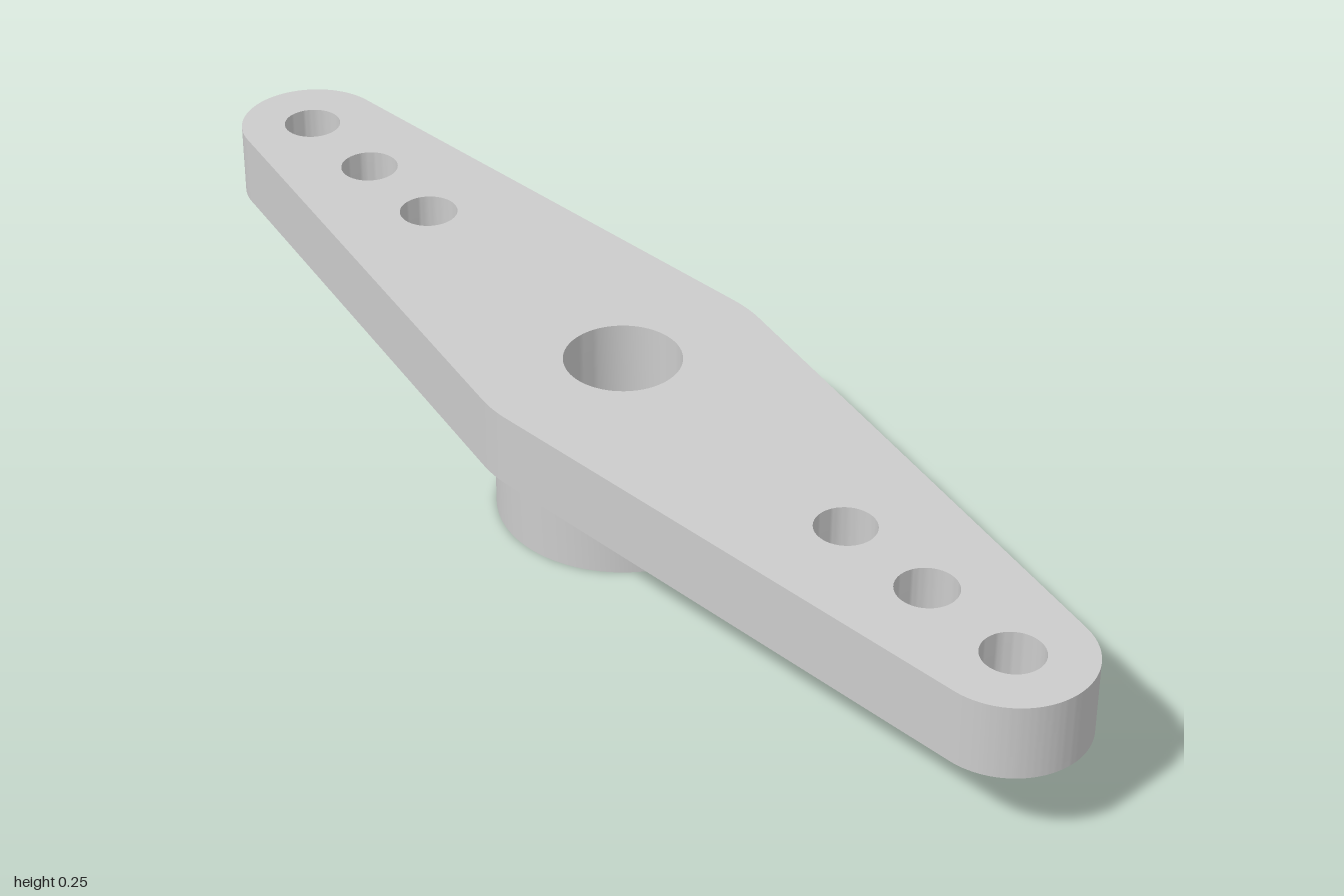
import * as THREE from 'three';
import { toCreasedNormals } from 'three/addons/utils/BufferGeometryUtils.js';

const PLATE_BOTTOM = 0.137, PLATE_TOP = 0.255;
const MID_RADIUS = 0.235, END_RADIUS = 0.117, END_X = 0.883;

function addPart(group, name, geometry) {
  const material = new THREE.MeshStandardMaterial({ color: 0xcccccc });
  const mesh = new THREE.Mesh(toCreasedNormals(geometry, Math.PI / 6), material);
  mesh.name = name;
  group.add(mesh);
  return mesh;
}

export function createModel() {
  const group = new THREE.Group();
  group.name = 'doubleArmHorn';

  // Arm outline: two small end circles joined by tangents to a larger middle circle
  const t = Math.acos((MID_RADIUS - END_RADIUS) / END_X);
  const outline = new THREE.Shape();
  outline.absarc(END_X, 0, END_RADIUS, -t, t);
  outline.absarc(0, 0, MID_RADIUS, t, Math.PI - t);
  outline.absarc(-END_X, 0, END_RADIUS, Math.PI - t, Math.PI + t);
  outline.absarc(0, 0, MID_RADIUS, Math.PI + t, 2 * Math.PI - t);

  // Centre screw hole and three linkage holes on each arm
  const drill = (x, r) => outline.holes.push(new THREE.Path().absarc(x, 0, r, 0, Math.PI * 2, true));
  drill(0, 0.09);
  for (const side of [-1, 1])
    for (const x of [0.53, 0.706, 0.883]) drill(side * x, 0.046);

  const plate = new THREE.ExtrudeGeometry(outline, {
    depth: PLATE_TOP - PLATE_BOTTOM, bevelEnabled: false, curveSegments: 32,
  });
  plate.rotateX(-Math.PI / 2);
  addPart(group, 'armPlate', plate).position.y = PLATE_BOTTOM;

  // Hollow hub below the plate, its bore ending at the plate's underside
  const profile = [[0.136, PLATE_BOTTOM], [0.136, 0], [0.194, 0], [0.194, PLATE_BOTTOM]];
  addPart(group, 'hub', new THREE.LatheGeometry(profile.map(([x, y]) => new THREE.Vector2(x, y)), 64));

  return group;
}
